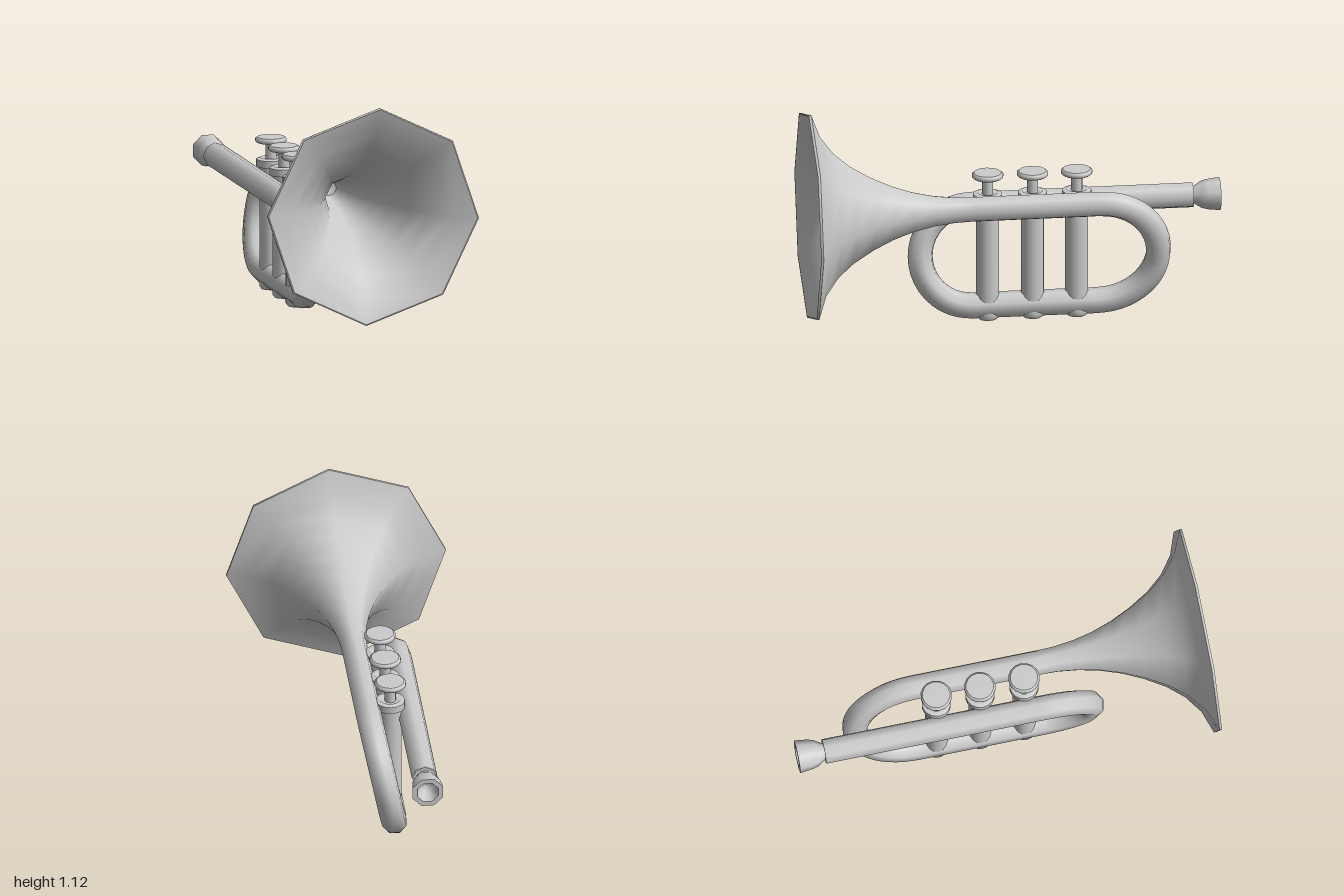
import * as THREE from 'three';

const material = new THREE.MeshStandardMaterial({ color: 0xcccccc });
const V2 = (a) => a.map(([r, y]) => new THREE.Vector2(r, y));

// Turned part made of one or more profiles [radius, height]; edges stay sharp between profiles
function turned(name, sides, profiles, start = 0) {
  const group = new THREE.Group();
  group.name = name;
  profiles.forEach((p, i) => {
    const mesh = new THREE.Mesh(new THREE.LatheGeometry(V2(p), sides, start), material);
    mesh.name = `${name}Surface${i + 1}`;
    group.add(mesh);
  });
  return group;
}

// Half-oval bend between two straight pipes, drifting sideways from x0 to x1
function bend(x0, x1, y0, y1, z, depth) {
  const points = [];
  const n = 12;
  for (let i = 0; i <= n; i++) {
    const t = i / n, a = Math.PI * t;
    points.push(new THREE.Vector3(
      THREE.MathUtils.lerp(x0, x1, t * t * (3 - 2 * t)),
      (y0 + y1) / 2 + (y0 - y1) / 2 * Math.cos(a),
      z + depth * Math.sin(a)));
  }
  return points;
}

// Points inside a straight run along z
const run = (x, y, zs) => zs.map((z) => new THREE.Vector3(x, y, z));

export function createModel() {
  const model = new THREE.Group();
  model.name = 'trumpet';

  // One continuous pipe: bell pipe, rear bend, bottom pipe, front bend, mouth pipe
  const path = new THREE.CatmullRomCurve3([
    ...run(0, 0.594, [0.27, 0.1, -0.15, -0.34]),
    ...bend(0, -0.11, 0.594, 0.066, -0.4, -0.287),
    ...run(-0.11, 0.066, [-0.34, -0.1, 0.14]),
    ...bend(-0.11, -0.21, 0.066, 0.542, 0.2, 0.242),
    ...run(-0.21, 0.542, [0.14, -0.2, -0.6, -0.87]),
  ], false, 'centripetal');
  const pipe = new THREE.Mesh(new THREE.TubeGeometry(path, 110, 0.062, 8, false), material);
  pipe.name = 'pipe';
  model.add(pipe);

  // Closed end of the mouth pipe
  const pipeEnd = new THREE.Mesh(new THREE.CircleGeometry(0.06, 8), material);
  pipeEnd.name = 'pipeEnd';
  pipeEnd.rotation.y = Math.PI;
  pipeEnd.position.set(-0.21, 0.542, -0.869);
  model.add(pipeEnd);

  // Eight-sided flared bell: outside, rim, inside, throat
  const bell = turned('bell', 8, [
    [[0.062, 0.22], [0.065, 0.3], [0.078, 0.4], [0.102, 0.5], [0.138, 0.6], [0.187, 0.7],
      [0.25, 0.8], [0.32, 0.88], [0.41, 0.945], [0.527, 0.988]],
    [[0.527, 0.988], [0.527, 1], [0.521, 1]],
    [[0.521, 1], [0.4, 0.957], [0.31, 0.89], [0.24, 0.81], [0.177, 0.71], [0.127, 0.61],
      [0.09, 0.51], [0.065, 0.41], [0.048, 0.33], [0.037, 0.28]],
    [[0.037, 0.28], [0, 0.272]],
  ], -0.066);
  bell.rotation.x = Math.PI / 2;
  bell.position.y = 0.594;
  model.add(bell);

  // Mouthpiece cup, opening to the back
  const mouthpiece = turned('mouthpiece', 8, [
    [[0, 0.85], [0.04, 0.85], [0.042, 0.875], [0.064, 0.91], [0.072, 0.94], [0.079, 1]],
    [[0.079, 1], [0.054, 1]],
    [[0.054, 1], [0.047, 0.965], [0.03, 0.94], [0, 0.93]],
  ], Math.PI / 8);
  mouthpiece.rotation.x = -Math.PI / 2;
  mouthpiece.position.set(-0.21, 0.542, 0);
  model.add(mouthpiece);

  // Three valves with bottom cap, casing, collar, stem and button
  [0.125, -0.09, -0.302].forEach((z, i) => {
    const valve = new THREE.Group();
    valve.name = `valve${i + 1}`;
    valve.add(
      turned('casing', 16, [
        [[0, 0], [0.045, 0]],
        [[0.045, 0], [0.055, 0.012], [0.055, 0.03]],
        [[0.055, 0.03], [0.055, 0.6]],
      ]),
      turned('collar', 16, [
        [[0.05, 0.595], [0.07, 0.595]],
        [[0.07, 0.595], [0.07, 0.63]],
        [[0.07, 0.63], [0.05, 0.638], [0.045, 0.63], [0, 0.63]],
      ]),
      turned('stem', 12, [[[0.027, 0.62], [0.027, 0.715]]]),
      turned('button', 16, [
        [[0, 0.71], [0.066, 0.71]],
        [[0.066, 0.71], [0.075, 0.717], [0.075, 0.73], [0.066, 0.737]],
        [[0.066, 0.737], [0, 0.738]],
      ]));
    valve.position.set(-0.11, 0, z);
    model.add(valve);
  });

  return model;
}
